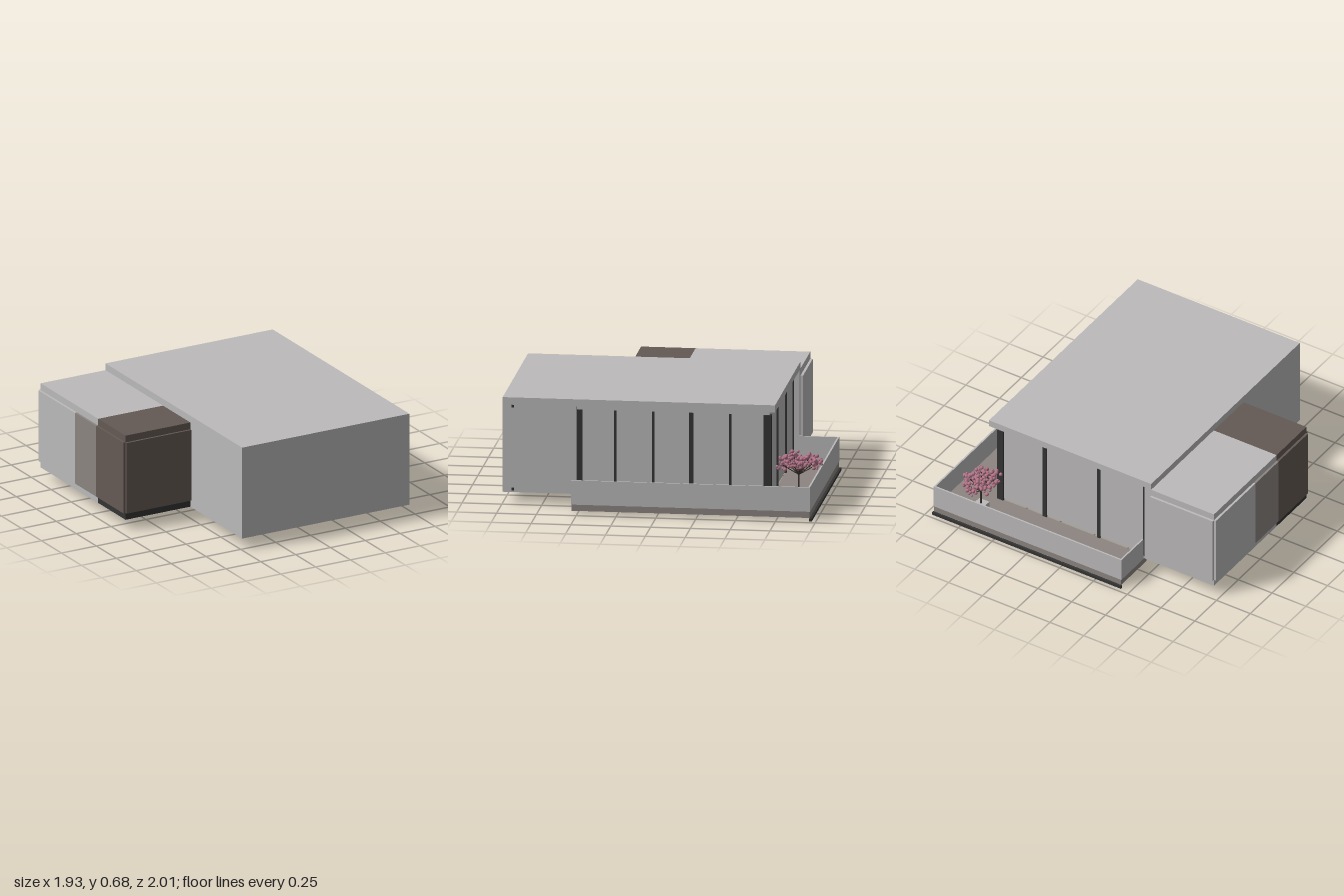
import * as THREE from 'three';
import { mergeGeometries } from 'three/addons/utils/BufferGeometryUtils.js';

const mat = (name, color, flatShading = false) => {
  const m = new THREE.MeshStandardMaterial({ color, flatShading });
  m.name = name;
  return m;
};

export function createModel() {
  const house = new THREE.Group();
  house.name = 'house';
  const grey = mat('paleGreyRender', 0xbcbabb);
  const stone = mat('warmGreyStone', 0x8c8581);
  const brown = mat('brownCladding', 0x655a54);
  const dark = mat('darkFrame', 0x343434);
  const pink = mat('pinkBlossom', 0xb5768a);
  const bark = mat('bark', 0x3a302c);
  const light = mat('whiteLight', 0xf0f0f0);

  // Box given by its minimum and maximum on each axis
  const box = (name, m, x0, x1, y0, y1, z0, z1, parent = house) => {
    const mesh = new THREE.Mesh(new THREE.BoxGeometry(x1 - x0, y1 - y0, z1 - z0), m);
    mesh.position.set((x0 + x1) / 2, (y0 + y1) / 2, (z0 + z1) / 2);
    mesh.name = name;
    parent.add(mesh);
    return mesh;
  };

  // Main volume: solid front, recessed rear room, overhanging roof
  box('frontBlock', grey, -0.49, 0.71, 0.07, 0.63, 0.54, 1);
  box('rearRoom', grey, -0.49, 0.66, 0.07, 0.63, -0.67, 0.54);
  box('roofSlab', grey, -0.49, 0.71, 0.63, 0.675, -0.71, 1);
  box('rearFin', grey, -0.49, -0.44, 0.07, 0.63, -0.71, -0.67);

  // Window mullions: [centre, width] along the right and rear walls
  const mullions = new THREE.Group();
  mullions.name = 'mullions';
  house.add(mullions);
  for (const [z, w] of [[0.522, 0.034], [0.30, 0.014], [0.06, 0.014], [-0.178, 0.028], [-0.422, 0.014]])
    box('sideMullion', dark, 0.655, 0.668, 0.06, 0.6, z - w / 2, z + w / 2, mullions);
  for (const [x, w] of [[0.32, 0.028], [-0.08, 0.022], [-0.42, 0.022]])
    box('rearMullion', dark, x - w / 2, x + w / 2, 0.06, 0.6, -0.678, -0.665, mullions);
  box('cornerPost', dark, 0.625, 0.67, 0.06, 0.6, -0.68, -0.632, mullions);

  // L-shaped terrace with parapets, open at the front end
  box('sideDeck', stone, 0.67, 0.955, 0.02, 0.06, -0.96, 0.535);
  box('rearDeck', stone, -0.43, 0.67, 0.02, 0.06, -0.96, -0.67);
  box('sideParapet', grey, 0.947, 0.958, 0.06, 0.215, -0.962, 0.537);
  box('rearParapet', grey, -0.432, 0.947, 0.06, 0.215, -0.962, -0.951);
  box('endParapet', grey, -0.432, -0.421, 0.06, 0.215, -0.951, -0.71);
  box('rearDarkStrip', dark, -0.435, 0.963, 0, 0.018, -0.974, -0.958);

  // Side wing with thin facing panels
  box('wingRear', grey, -0.955, -0.49, 0.07, 0.63, -0.71, 0.01);
  box('wingFront', brown, -0.955, -0.49, 0.115, 0.63, 0.01, 0.352);
  box('wingPlinth', dark, -0.955, -0.49, 0.07, 0.115, 0.01, 0.352);
  box('wingFrontPanel', brown, -0.955, -0.49, 0.115, 0.585, 0.352, 0.366);
  box('wingRearPanel', grey, -0.955, -0.49, 0.115, 0.585, -0.726, -0.71);
  for (const [m, z0, z1] of [[grey, -0.71, -0.255], [stone, -0.255, 0.01], [brown, 0.01, 0.35]])
    box('wingSidePanel', m, -0.97, -0.955, 0.115, 0.585, z0, z1);

  // Lights under the floor and small fixtures on the right wall
  for (const z of [-0.384, -0.125, 0.18])
    box('floorLight', light, -0.5, -0.44, 0.066, 0.071, z - 0.025, z + 0.025);
  for (const y of [0.09, 0.62]) box('wallFixture', dark, 0.71, 0.716, y - 0.008, y + 0.008, 0.93, 0.945);

  // Blossom tree in a planter
  const tree = new THREE.Group();
  tree.name = 'blossomTree';
  tree.position.set(0.675, 0, -0.855);
  house.add(tree);
  box('planter', grey, -0.037, 0.037, 0.06, 0.135, -0.037, 0.037, tree);
  let seed = 17;
  const rnd = () => (seed = (seed * 16807) % 2147483647) / 2147483647;
  const limb = (a, b, r) => new THREE.TubeGeometry(new THREE.LineCurve3(a, b), 1, r, 5);
  const fork = new THREE.Vector3(0, 0.23, 0);
  const limbs = [limb(new THREE.Vector3(0, 0.13, 0), fork, 0.006)];
  const blossoms = [];
  for (let i = 0; i < 16; i++) {
    const a = i * 2.4, r = 0.025 + 0.085 * Math.sqrt(i / 15);
    const tip = new THREE.Vector3(Math.cos(a) * r * 0.85, 0.345 - 0.35 * r + (rnd() - 0.5) * 0.05, Math.sin(a) * r * 1.08);
    limbs.push(limb(fork, tip, 0.003));
    for (let k = 0; k < 13; k++) {
      const g = new THREE.IcosahedronGeometry(0.007 + rnd() * 0.006, 1);
      g.translate(tip.x + (rnd() - 0.5) * 0.06, tip.y + (rnd() - 0.5) * 0.06, tip.z + (rnd() - 0.5) * 0.06);
      blossoms.push(g);
    }
  }
  const branches = new THREE.Mesh(mergeGeometries(limbs), bark);
  branches.name = 'branches';
  const blossom = new THREE.Mesh(mergeGeometries(blossoms), pink);
  blossom.name = 'blossoms';
  tree.add(branches, blossom);

  return house;
}
